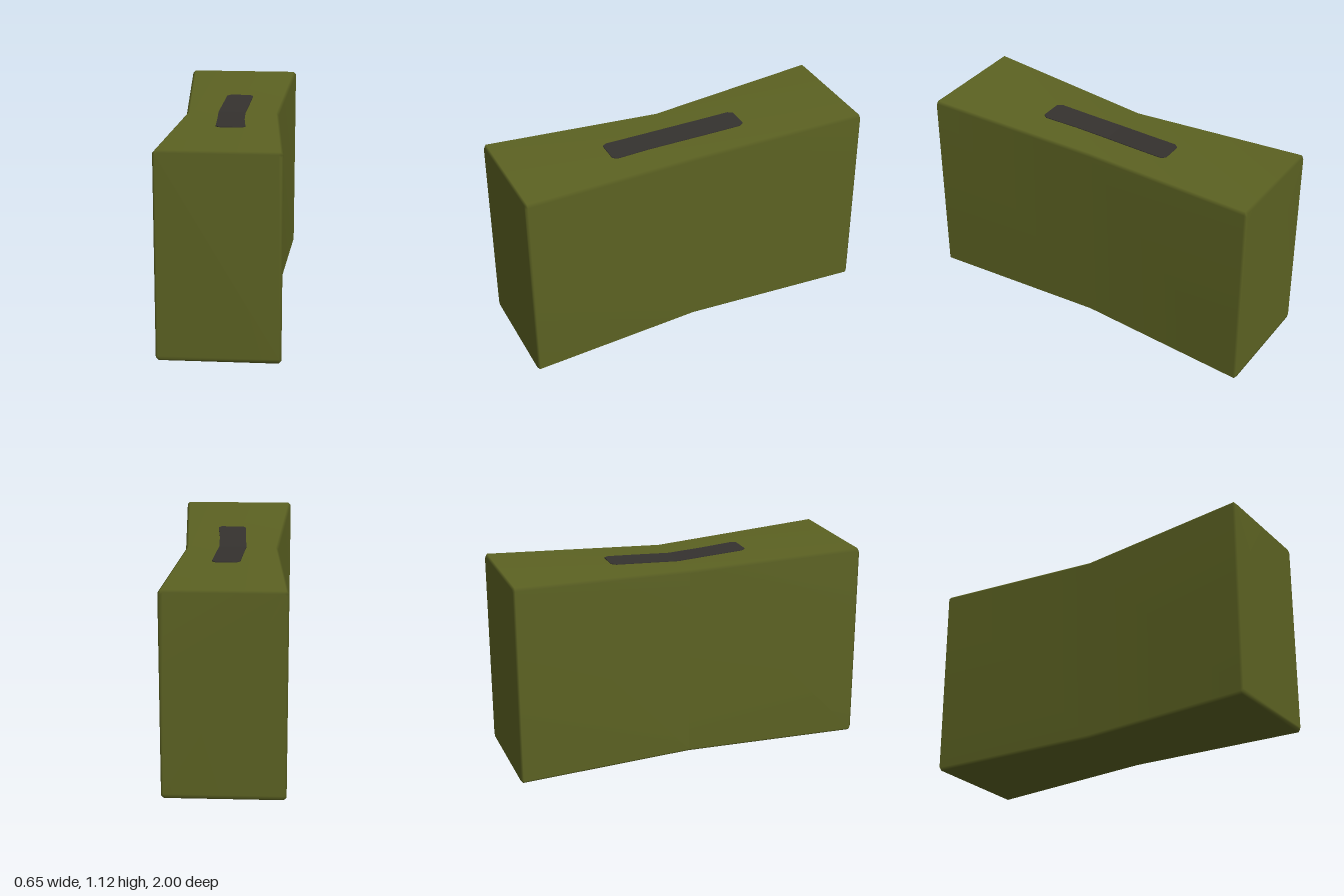
import * as THREE from 'three';

// Closed skin over equal-sized rings, listed from back to front,
// each running counter-clockwise as seen from +z.
function loft(rings) {
  const n = rings[0].length;
  const last = (rings.length - 1) * n;
  const index = [];
  for (let i = 0; i < rings.length - 1; i++) {
    for (let j = 0; j < n; j++) {
      const k = (j + 1) % n;
      const a = i * n + j, b = i * n + k, c = b + n, d = a + n;
      index.push(a, b, c, a, c, d);
    }
  }
  for (let j = 1; j < n - 1; j++) {
    index.push(0, j + 1, j, last, last + j, last + j + 1);
  }
  const geometry = new THREE.BufferGeometry();
  geometry.setAttribute('position', new THREE.Float32BufferAttribute(rings.flat(2), 3));
  geometry.setIndex(index);
  geometry.computeVertexNormals();
  return geometry;
}

// The block narrows and dips towards the middle
const halfWidth = (z) => 0.26 + 0.066 * Math.abs(z);
const topHeight = (z) => 1.088 + 0.037 * Math.abs(z);

// Rectangle with chamfered corners
function blockRing(z, inset) {
  const w = halfWidth(z) - inset, lo = inset, hi = topHeight(z) - inset, c = 0.015;
  return [
    [w, lo + c], [w, hi - c], [w - c, hi], [c - w, hi],
    [-w, hi - c], [-w, lo + c], [c - w, lo], [w - c, lo],
  ].map(([x, y]) => [x, y, z]);
}

export function createModel() {
  const olive = new THREE.MeshStandardMaterial({ color: 0x5c6222 });
  olive.name = 'olive';
  const charcoal = new THREE.MeshStandardMaterial({ color: 0x35322f });
  charcoal.name = 'charcoal';

  const model = new THREE.Group();
  model.name = 'pinchedBlock';

  // Body with softened end edges
  const body = new THREE.Mesh(loft([
    blockRing(-1, 0.012), blockRing(-0.988, 0), blockRing(0, 0),
    blockRing(0.988, 0), blockRing(1, 0.012),
  ]), olive);
  body.name = 'body';
  model.add(body);

  // Slightly bowed strip lying along the dipped top: z, left edge, right edge
  const stations = [
    [-0.38, -0.04, 0.075], [-0.355, -0.06, 0.093], [-0.2, -0.068, 0.085],
    [0, -0.08, 0.072], [0.2, -0.07, 0.08], [0.39, -0.063, 0.097], [0.415, -0.045, 0.08],
  ];
  const stripGeometry = loft(stations.map(([z, x0, x1]) => {
    const lo = topHeight(z) - 0.003, hi = topHeight(z) + 0.004;
    return [[x1, lo, z], [x1, hi, z], [x0, hi, z], [x0, lo, z]];
  })).toNonIndexed();
  stripGeometry.computeVertexNormals();
  const strip = new THREE.Mesh(stripGeometry, charcoal);
  strip.name = 'topStrip';
  model.add(strip);

  return model;
}
